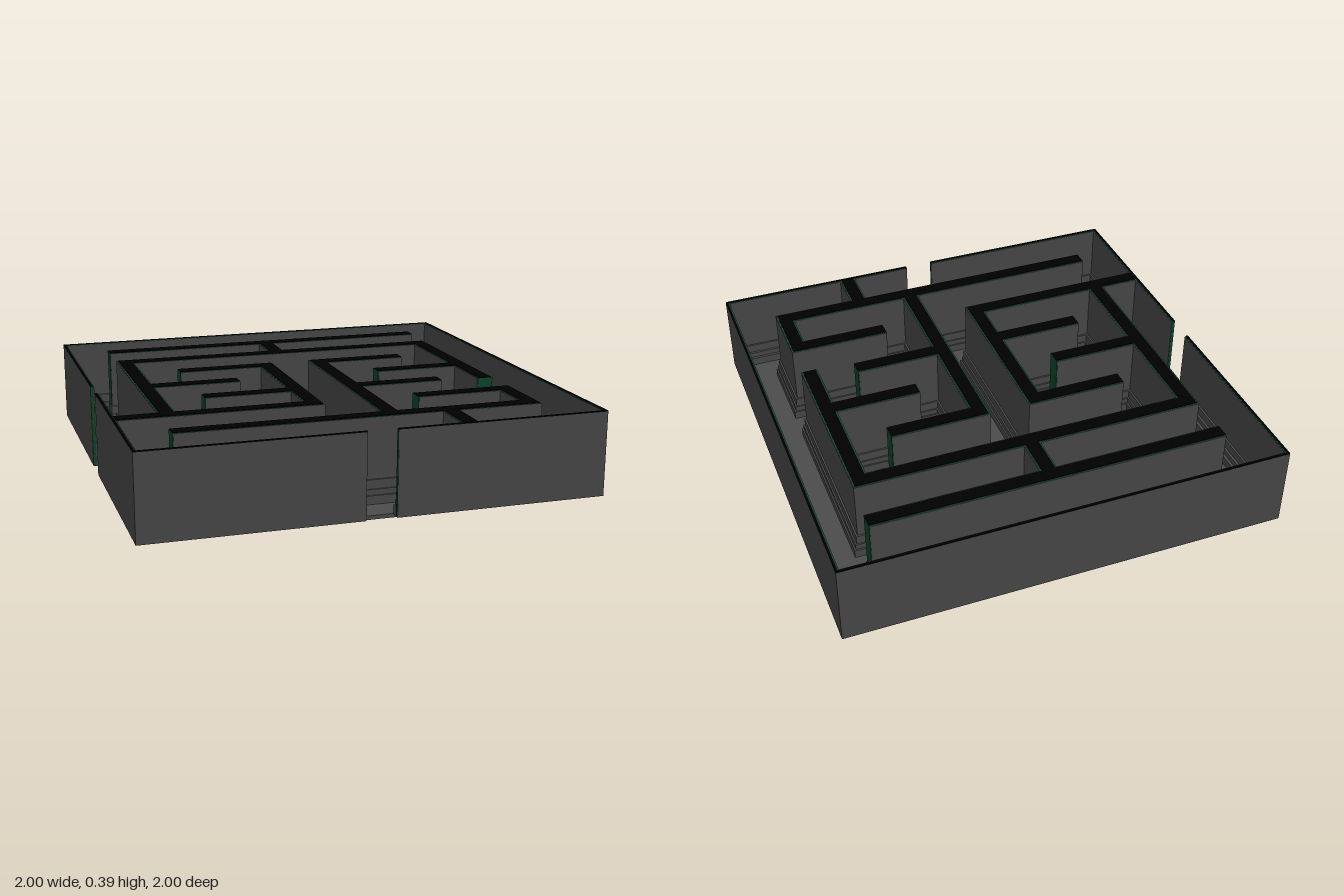
import * as THREE from 'three';

const material = (name, color) => {
  const m = new THREE.MeshStandardMaterial({ color });
  m.name = name;
  return m;
};

export function createModel() {
  const group = new THREE.Group();
  group.name = 'maze';
  const grey = material('stone grey', 0x4c4c4c);
  const black = material('cap black', 0x000000);
  const green = material('trim green', 0x0f4a2e);

  // Box given by its two opposite corners
  function box(name, mat, parent, x0, x1, y0, y1, z0, z1) {
    const mesh = new THREE.Mesh(new THREE.BoxGeometry(x1 - x0, y1 - y0, z1 - z0), mat);
    mesh.position.set((x0 + x1) / 2, (y0 + y1) / 2, (z0 + z1) / 2);
    mesh.name = name;
    parent.add(mesh);
  }

  // Layers: name, material, base, top, half width, end extension
  // The green core shows at the free ends and as a thin line beside the cap
  const innerLayers = [
    ['wallCap', black, 0.386, 0.39, 0.03, 0],
    ['wallCore', green, 0.016, 0.387, 0.036, 0.001],
    ['wallPanel', grey, 0.015, 0.386, 0.038, -0.002],
    ['skirtingTop', grey, 0.015, 0.12, 0.046, 0.004],
    ['skirtingMiddle', grey, 0.015, 0.08, 0.053, 0.008],
    ['skirtingBase', grey, 0.015, 0.055, 0.06, 0.012],
  ];
  // Layers: name, material, base, top, inner distance, outer distance, gap offset
  const outerLayers = [
    ['outerCap', black, 0.3855, 0.39, 0.99, 0.9995, 0],
    ['outerCore', green, 0.017, 0.387, 0.985, 0.998, 0],
    ['outerPanel', grey, 0.015, 0.3855, 0.983, 1, 0.002],
    ['skirtingTop', grey, 0.015, 0.12, 0.974, 0.9995, 0.003],
    ['skirtingMiddle', grey, 0.015, 0.08, 0.963, 0.9995, 0.003],
    ['skirtingBase', grey, 0.015, 0.055, 0.95, 0.9995, 0.003],
  ];

  box('floor', grey, group, -0.95, 0.95, 0, 0.017, -0.95, 0.95);

  // Inner walls along x: z, start, end
  const alongX = [
    [-0.76, -0.805, 0.805], [-0.515, -0.765, 0.76],
    [-0.255, -0.555, -0.13], [-0.255, 0.13, 0.55],
    [0, -0.765, -0.335], [0, 0.335, 0.76],
    [0.25, -0.555, -0.13], [0.25, 0.13, 0.55],
    [0.505, -0.986, -0.13], [0.505, 0.335, 0.76],
    [0.76, -0.805, 0.76],
  ];
  // Inner walls along z: x, start, end
  const alongZ = [
    [0, -0.76, -0.515], [-0.765, -0.515, 0.505], [0.76, -0.515, 0.3],
    [-0.13, -0.255, 0.505], [0.13, -0.255, 0.76],
    [0.76, 0.505, 0.76], [0.38, 0.76, 0.986],
  ];
  // Corner posts where two inner walls turn: x, z
  const corners = [
    [-0.765, -0.515], [0.76, -0.515], [-0.13, -0.255], [0.13, -0.255],
    [-0.13, 0.505], [0.76, 0.505], [0.76, 0.76],
  ];
  const inner = new THREE.Group();
  inner.name = 'innerWalls';
  group.add(inner);
  for (const [name, mat, y0, y1, w, e] of innerLayers) {
    for (const [z, a, b] of alongX) box(name, mat, inner, a - e, b + e, y0, y1, z - w, z + w);
    for (const [x, a, b] of alongZ) box(name, mat, inner, x - w, x + w, y0, y1, a - e, b + e);
    for (const [x, z] of corners) box(name, mat, inner, x - w, x + w, y0, y1, z - w, z + w);
  }

  // Outer walls, each built as a front wall and turned; two of them have a doorway
  const sides = [
    ['frontWall', 0, true], ['rightHandWall', -Math.PI / 2, true],
    ['backWall', Math.PI, false], ['leftHandWall', Math.PI / 2, false],
  ];
  for (const [name, angle, doorway] of sides) {
    const side = new THREE.Group();
    side.name = name;
    side.rotation.y = angle;
    group.add(side);
    for (const [part, mat, y0, y1, d0, d1, e] of outerLayers) {
      if (doorway) {
        const gap = 0.065 + e;
        box(part, mat, side, -d1, -gap, y0, y1, d0, d1);
        box(part, mat, side, gap, d1, y0, y1, d0, d1);
      } else {
        box(part, mat, side, -d1, d1, y0, y1, d0, d1);
      }
    }
  }
  return group;
}
